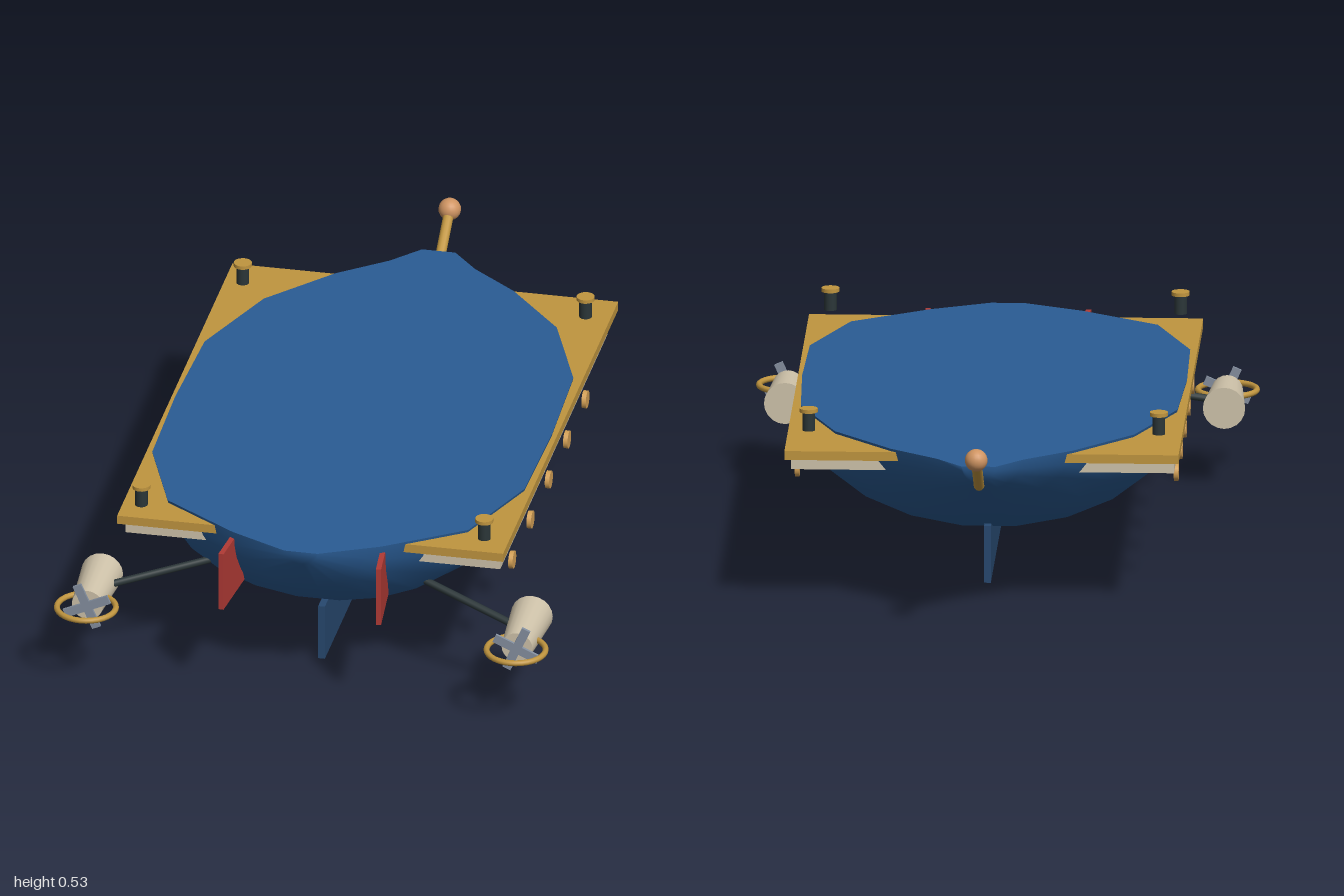
import * as THREE from 'three';

const mat = (name, color, side = THREE.FrontSide) => {
  const m = new THREE.MeshStandardMaterial({ color, side });
  m.name = name;
  return m;
};

// Hull stations: [z, half width at the deck, depth below the deck]
const DECK_Y = 0.45;
const STATIONS = [
  [-0.83, 0.045, 0.045], [-0.75, 0.115, 0.085], [-0.65, 0.24, 0.135],
  [-0.47, 0.395, 0.232], [-0.2, 0.497, 0.325], [0.12, 0.508, 0.364],
  [0.44, 0.502, 0.333], [0.7, 0.405, 0.25], [0.84, 0.2, 0.14], [0.915, 0.045, 0.035],
];
const SEGMENTS = 11;

// Half-elliptical cross-sections skinned from bow to stern, closed at both ends
function hullGeometry() {
  const pos = [], idx = [], n = SEGMENTS + 1;
  for (const [z, w, d] of STATIONS) {
    for (let j = 0; j < n; j++) {
      const a = (j / SEGMENTS) * Math.PI;
      pos.push(w * Math.cos(a), DECK_Y - d * Math.sin(a), z);
    }
  }
  for (let i = 0; i < STATIONS.length - 1; i++) {
    for (let j = 0; j < SEGMENTS; j++) {
      const a = i * n + j, b = a + n;
      idx.push(a, a + 1, b, a + 1, b + 1, b);
    }
  }
  const last = (STATIONS.length - 1) * n;
  for (let j = 1; j < SEGMENTS; j++) {
    idx.push(0, j + 1, j);
    idx.push(last, last + j, last + j + 1);
  }
  const g = new THREE.BufferGeometry();
  g.setAttribute('position', new THREE.Float32BufferAttribute(pos, 3));
  g.setIndex(idx);
  g.computeVertexNormals();
  return g;
}

// Flat deck following the hull outline
function deckGeometry() {
  const s = new THREE.Shape([
    ...STATIONS.map(([z, w]) => new THREE.Vector2(w, -z)),
    ...[...STATIONS].reverse().map(([z, w]) => new THREE.Vector2(-w, -z)),
  ]);
  return new THREE.ShapeGeometry(s).rotateX(-Math.PI / 2);
}

export function createModel() {
  const root = new THREE.Group();
  root.name = 'ship';

  const blue = mat('hull blue', 0x2a5c94, THREE.DoubleSide);
  const navy = mat('keel navy', 0x27486f);
  const gold = mat('deck gold', 0xc0953f);
  const brass = mat('porthole brass', 0xd3a055);
  const copper = mat('copper', 0xcf9462);
  const cream = mat('cream', 0xcfc3aa);
  const red = mat('rudder red', 0xb03a35);
  const dark = mat('dark iron', 0x2b3638);
  const steel = mat('blade steel', 0x8590a0);

  const add = (name, geo, material, x = 0, y = 0, z = 0, parent = root) => {
    const m = new THREE.Mesh(geo, material);
    m.name = name;
    m.position.set(x, y, z);
    parent.add(m);
    return m;
  };
  const rod = (name, from, to, r, material, parent = root) => {
    const a = new THREE.Vector3(...from), b = new THREE.Vector3(...to);
    const dir = b.clone().sub(a);
    const m = add(name, new THREE.CylinderGeometry(r, r, dir.length(), 12), material, 0, 0, 0, parent);
    m.position.copy(a).add(b).multiplyScalar(0.5);
    m.quaternion.setFromUnitVectors(new THREE.Vector3(0, 1, 0), dir.normalize());
    return m;
  };

  // Hull, deck and keel
  add('hull', hullGeometry(), blue);
  add('deck', deckGeometry(), blue, 0, DECK_Y, 0);
  add('keelFin', new THREE.BoxGeometry(0.018, 0.155, 0.96), navy, 0, 0.0775, 0.175);

  // Side platforms passing through the hull
  add('upperPlatform', new THREE.BoxGeometry(1.04, 0.024, 1.46), gold, 0, 0.431, 0.07);
  add('lowerPlatform', new THREE.BoxGeometry(1.01, 0.033, 1.36), cream, 0, 0.394, 0.085);

  // Bowsprit with a ball tip
  rod('bowsprit', [0, 0.39, -0.8], [0, 0.503, -0.97], 0.014, gold);
  add('bowspritBall', new THREE.SphereGeometry(0.03, 20, 14), copper, 0, 0.503, -0.97);

  // Rudder outline in the side plane: shape x runs aft, y up
  const rudderShape = new THREE.Shape([
    new THREE.Vector2(0.75, 0.265), new THREE.Vector2(0.932, 0.265),
    new THREE.Vector2(0.932, 0.43), new THREE.Vector2(0.83, 0.43),
  ]);
  const rudderGeo = new THREE.ExtrudeGeometry(rudderShape, { depth: 0.014, bevelEnabled: false });
  rudderGeo.rotateY(-Math.PI / 2).translate(0.007, 0, -0.84);

  const porthole = new THREE.CylinderGeometry(0.024, 0.024, 0.012, 20).rotateZ(Math.PI / 2);
  const postGeo = new THREE.CylinderGeometry(0.017, 0.017, 0.05, 14);
  const capGeo = new THREE.CylinderGeometry(0.024, 0.024, 0.01, 20);
  const nozzleGeo = new THREE.CylinderGeometry(0.042, 0.056, 0.19, 20).rotateX(Math.PI / 2);
  const ringGeo = new THREE.TorusGeometry(0.078, 0.008, 10, 32).rotateX(Math.PI / 2);
  const bladeGeo = new THREE.BoxGeometry(0.024, 0.13, 0.008);

  for (const side of [1, -1]) {
    const label = side > 0 ? 'left' : 'right';

    // Rudder, splayed slightly outwards
    const rudder = add(label + 'Rudder', rudderGeo, red, side * 0.203, 0, 0.84);
    rudder.rotation.y = side * 0.1;

    // Row of portholes
    for (let i = 0; i < 5; i++) {
      add(label + 'Porthole', porthole, brass, side * 0.5, 0.316, 0.59 - i * 0.232);
    }

    // Mooring posts at the platform corners
    for (const z of [-0.52, 0.765]) {
      add(label + 'Post', postGeo, dark, side * 0.462, 0.49, z);
      add(label + 'PostCap', capGeo, gold, side * 0.462, 0.52, z);
    }

    // Thruster: strut, nozzle, crossed blades and level guard ring
    const thruster = new THREE.Group();
    thruster.name = label + 'Thruster';
    root.add(thruster);
    rod('strut', [side * 0.29, 0.287, 0.7], [side * 0.56, 0.224, 0.79], 0.01, dark, thruster);
    add('nozzle', nozzleGeo, cream, side * 0.579, 0.222, 0.805, thruster);
    for (const turn of [0, Math.PI / 2]) {
      const blade = add('blade', bladeGeo, steel, side * 0.579, 0.222, 0.907, thruster);
      blade.rotation.z = side * -0.42 + turn;
    }
    add('guardRing', ringGeo, gold, side * 0.579, 0.222, 0.912, thruster);
  }
  return root;
}
